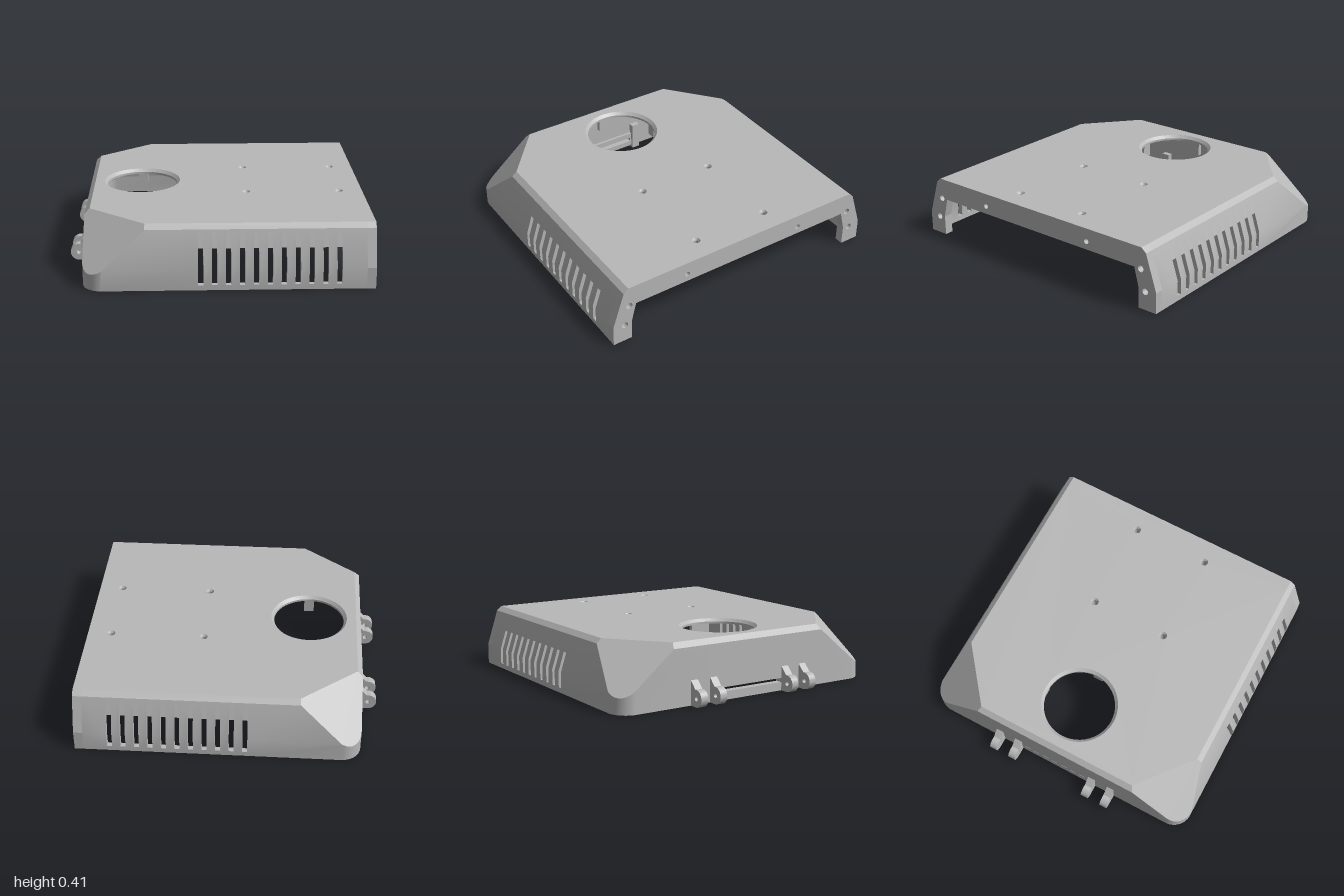
import * as THREE from 'three';
import { toCreasedNormals } from 'three/addons/utils/BufferGeometryUtils.js';

const T = 0.035;            // wall thickness
const END = 0.94;           // where the shell meets the end frame
const V = (x, y, z) => new THREE.Vector3(x, y, z);
const X = V(1, 0, 0), Y = V(0, 1, 0), Z = V(0, 0, 1);
const slots = Array.from({ length: 11 }, (_, k) => [-0.142 + k * 0.089, -0.108 + k * 0.089]);
const hole = { x: -0.52, z: 0 };
const screws = [[0.2, 0.272], [0.2, -0.272], [0.84, 0.272], [0.84, -0.272]];

// Keep the part of a convex polygon where n.p <= d
function clip(poly, n, d) {
  const out = [];
  poly.forEach((a, i) => {
    const b = poly[(i + 1) % poly.length];
    const da = n.dot(a) - d, db = n.dot(b) - d;
    if (da <= 0) out.push(a);
    if ((da < 0 && db > 0) || (da > 0 && db < 0)) out.push(a.clone().lerp(b, da / (da - db)));
  });
  return out;
}

// Planes that bound the housing, moved inwards by t
function housingPlanes(t) {
  const list = [];
  const add = (kind, n, p, inset = t) => {
    n = n.clone().normalize();
    list.push({ kind, n, d: n.dot(p) - inset });
  };
  add('bottom', V(0, -1, 0), V(0, 0, 0), 0);
  add('end', X, V(END, 0, 0), 0);
  add('top', Y, V(0, 0.415, 0));
  add('wall', V(-1, 0, 0), V(-0.885, 0, 0));
  add('plain', V(-1, 1, 0), V(-0.885, 0.38, 0));
  for (const s of [1, -1]) {
    add('side', V(0, 0, s), V(0, 0, s));
    add('side', V(0, 0.08, 0.245 * s), V(0, 0.14, s));
    add('plain', V(0, 0.035, 0.03 * s), V(0, 0.385, 0.92 * s));
    // slanted corner cut
    const a = V(-0.85, 0.415, 0.585 * s), b = V(-0.48, 0.415, 0.885 * s), c = V(-0.76, 0.135, s);
    const n = b.clone().sub(a).cross(c.clone().sub(a));
    if (n.y < 0) n.negate();
    add('plain', n, a);
    // rounded upright corner
    for (let k = 1; k < 10; k++) {
      const g = k * Math.PI / 20, dir = V(-Math.cos(g), 0, s * Math.sin(g));
      add('plain', dir, V(-0.755, 0, 0.87 * s).addScaledVector(dir, 0.13));
    }
  }
  return list;
}

function facet(planes, plane) {
  const u = V(plane.n.y, plane.n.z, plane.n.x).cross(plane.n);
  if (u.lengthSq() < 0.01) u.set(1, 0, 0).cross(plane.n);
  u.normalize();
  const v = plane.n.clone().cross(u), c = plane.n.clone().multiplyScalar(plane.d);
  let poly = [[-1, -1], [1, -1], [1, 1], [-1, 1]].map(([i, j]) =>
    c.clone().addScaledVector(u, i * 5).addScaledVector(v, j * 5));
  for (const o of planes) if (o !== plane) poly = clip(poly, o.n, o.d);
  return poly;
}

// Flat horizontal sheet with the fan opening and the screw holes
function sheet(poly, y, sign, fanR, screwR) {
  const shape = new THREE.Shape(poly.map(p => new THREE.Vector2(p.x, p.z * sign)));
  for (const [x, z, r] of [[hole.x, hole.z, fanR], ...screws.map(s => [...s, screwR])])
    shape.holes.push(new THREE.Path().absarc(x, z * sign, r, 0, Math.PI * 2));
  return new THREE.ShapeGeometry(shape, 32).rotateX(sign * Math.PI / 2).translate(0, y, 0);
}

export function createModel() {
  const group = new THREE.Group();
  const grey = new THREE.MeshStandardMaterial({ color: 0xb8b8b8, side: THREE.DoubleSide });
  grey.name = 'grey plastic';
  const add = (name, geo) => {
    const m = new THREE.Mesh(geo, grey);
    m.name = name;
    group.add(m);
    return m;
  };
  const box = (name, x0, x1, y0, y1, z0, z1) =>
    add(name, new THREE.BoxGeometry(x1 - x0, y1 - y0, z1 - z0)
      .translate((x0 + x1) / 2, (y0 + y1) / 2, (z0 + z1) / 2));
  const lathe = (name, pts, x, z) =>
    add(name, toCreasedNormals(new THREE.LatheGeometry(pts.map(p => new THREE.Vector2(...p)), 48), 0.5))
      .position.set(x, 0, z);

  let pos = [];
  const emit = (poly, flip) => {
    const p = flip ? [...poly].reverse() : poly;
    for (let i = 1; i + 1 < p.length; i++) for (const q of [p[0], p[i], p[i + 1]]) pos.push(q.x, q.y, q.z);
  };
  const flush = name => {
    const g = new THREE.BufferGeometry();
    g.setAttribute('position', new THREE.Float32BufferAttribute(pos, 3));
    g.computeVertexNormals();
    add(name, toCreasedNormals(g, 0.4));
    pos = [];
  };
  // Emit a polygon with a row of windows between heights lo and hi
  const emitWindows = (poly, axis, spans, lo, hi, flip) => {
    const back = axis.clone().negate();
    for (const [a, b] of spans) {
      emit(clip(poly, axis, a), flip);
      const mid = clip(clip(poly, back, -a), axis, b);
      emit(clip(mid, Y, lo), flip);
      emit(clip(mid, V(0, -1, 0), -hi), flip);
      poly = clip(poly, back, -b);
    }
    emit(poly, flip);
  };

  // Outer and inner skins
  const rims = [];
  for (const t of [0, T]) {
    const planes = housingPlanes(t), inner = t > 0;
    for (const pl of planes) {
      const poly = facet(planes, pl);
      if (pl.kind === 'bottom') rims.push(poly);
      else if (pl.kind === 'top')
        add(inner ? 'ceiling' : 'roof', sheet(poly, pl.d, inner ? 1 : -1, inner ? 0.245 : 0.265, inner ? 0.03 : 0.028));
      else if (pl.kind === 'side') emitWindows(poly, X, slots, 0.035, 0.27, inner);
      else if (pl.kind === 'wall') emitWindows(poly, Z, [[-0.265, 0.265]], 0.055, 0.085, inner);
      else if (pl.kind !== 'end') emit(poly, inner);
    }
    flush(inner ? 'innerWalls' : 'outerWalls');
  }

  // Bottom rim
  const [ro, ri] = rims;
  ro.forEach((p, i) => {
    const j = (i + 1) % ro.length;
    emit([p, ro[j], ri[j], ri[i]]);
  });
  flush('bottomRim');

  // Reveals of the vent slots and of the cable slot
  const outer = [[0.035, 1], [0.14, 1], [0.27, 0.9575]];
  const inside = [[0.035, 0.965], [0.1345, 0.965], [0.27, 0.9207]];
  for (const s of [1, -1]) for (const [a, b] of slots) {
    const at = (x, [y, z]) => V(x, y, z * s);
    for (const x of [a, b]) for (let j = 0; j < 2; j++)
      emit([at(x, outer[j]), at(x, outer[j + 1]), at(x, inside[j + 1]), at(x, inside[j])], (x === a) === (s > 0));
    for (const j of [0, 2])
      emit([at(a, outer[j]), at(b, outer[j]), at(b, inside[j]), at(a, inside[j])], (j === 2) === (s > 0));
  }
  flush('ventReveals');

  // End frame with screw holes
  const half = [[1, 0], [1, 0.14], [0.92, 0.385], [0.885, 0.415]];
  const open = [[0.83, 0.27], [0.865, 0.135], [0.865, 0]];
  const mirror = pts => pts.map(([u, y]) => [-u, y]).reverse();
  const frame = new THREE.Shape([...half, ...mirror(half), ...mirror(open), ...open]
    .map(p => new THREE.Vector2(...p)));
  for (const s of [1, -1]) for (const [u, y, r] of [[0.88, 0.27, 0.022], [0.915, 0.125, 0.022], [0.445, 0.325, 0.018]])
    frame.holes.push(new THREE.Path().absarc(s * u, y, r, 0, Math.PI * 2));
  add('endFrame', new THREE.ExtrudeGeometry(frame, { depth: 1 - END, bevelEnabled: false })
    .rotateY(Math.PI / 2).translate(END, 0, 0));

  // Fan opening edge, its retaining tabs, and screw posts
  lathe('fanOpeningEdge', [[0.265, 0.415], [0.245, 0.395], [0.245, 0.38]], hole.x, hole.z);
  for (let k = 0; k < 4; k++) {
    const tab = add('fanTab', new THREE.BoxGeometry(0.03, 0.1, 0.07).translate(0.275, 0.33, 0));
    tab.position.set(hole.x, 0, hole.z);
    tab.rotation.y = k * Math.PI / 2;
  }
  for (const [x, z] of screws)
    lathe('screwPost', [[0.028, 0.415], [0.018, 0.4], [0.018, 0.3], [0.036, 0.3], [0.036, 0.38]], x, z);

  // Frame behind the cable slot
  const plate = new THREE.Shape([[-0.275, 0.02], [0.275, 0.02], [0.275, 0.125], [-0.275, 0.125]]
    .map(p => new THREE.Vector2(...p)));
  plate.holes.push(new THREE.Path([[-0.265, 0.055], [-0.265, 0.085], [0.265, 0.085], [0.265, 0.055]]
    .map(p => new THREE.Vector2(...p))));
  add('cableSlotFrame', new THREE.ExtrudeGeometry(plate, { depth: 0.05, bevelEnabled: false })
    .rotateY(Math.PI / 2).translate(-0.88, 0, 0));

  // Hinge lugs
  const lug = new THREE.Shape();
  lug.moveTo(-0.88, 0);
  lug.lineTo(-0.943, 0);
  lug.absarc(-0.943, 0.057, 0.057, Math.PI * 1.5, Math.PI * 0.45, true);
  lug.lineTo(-0.885, 0.165);
  lug.lineTo(-0.88, 0.165);
  lug.holes.push(new THREE.Path().absarc(-0.943, 0.057, 0.016, 0, Math.PI * 2));
  const lugGeo = toCreasedNormals(new THREE.ExtrudeGeometry(lug, { depth: 0.053, bevelEnabled: false }), 0.5);
  for (const z of [0.262, 0.41, -0.322, -0.47]) add('hingeLug', lugGeo).position.z = z;

  // Mirrored inner supports
  for (const s of [1, -1]) {
    const span = (a, b) => (s > 0 ? [a, b] : [-b, -a]);
    box('hingeSupport', -0.86, -0.81, 0, 0.2, ...span(0.275, 0.335));
    box('innerRail', -0.35, 0.55, 0.29, 0.385, ...span(0.59, 0.62));
    box('outerRail', -0.35, 0.55, 0.29, 0.385, ...span(0.83, 0.86));
    box('railStop', -0.35, -0.32, 0.29, 0.385, ...span(0.78, 0.84));
    box('railStop', 0.52, 0.55, 0.29, 0.385, ...span(0.78, 0.84));
  }
  return group;
}
